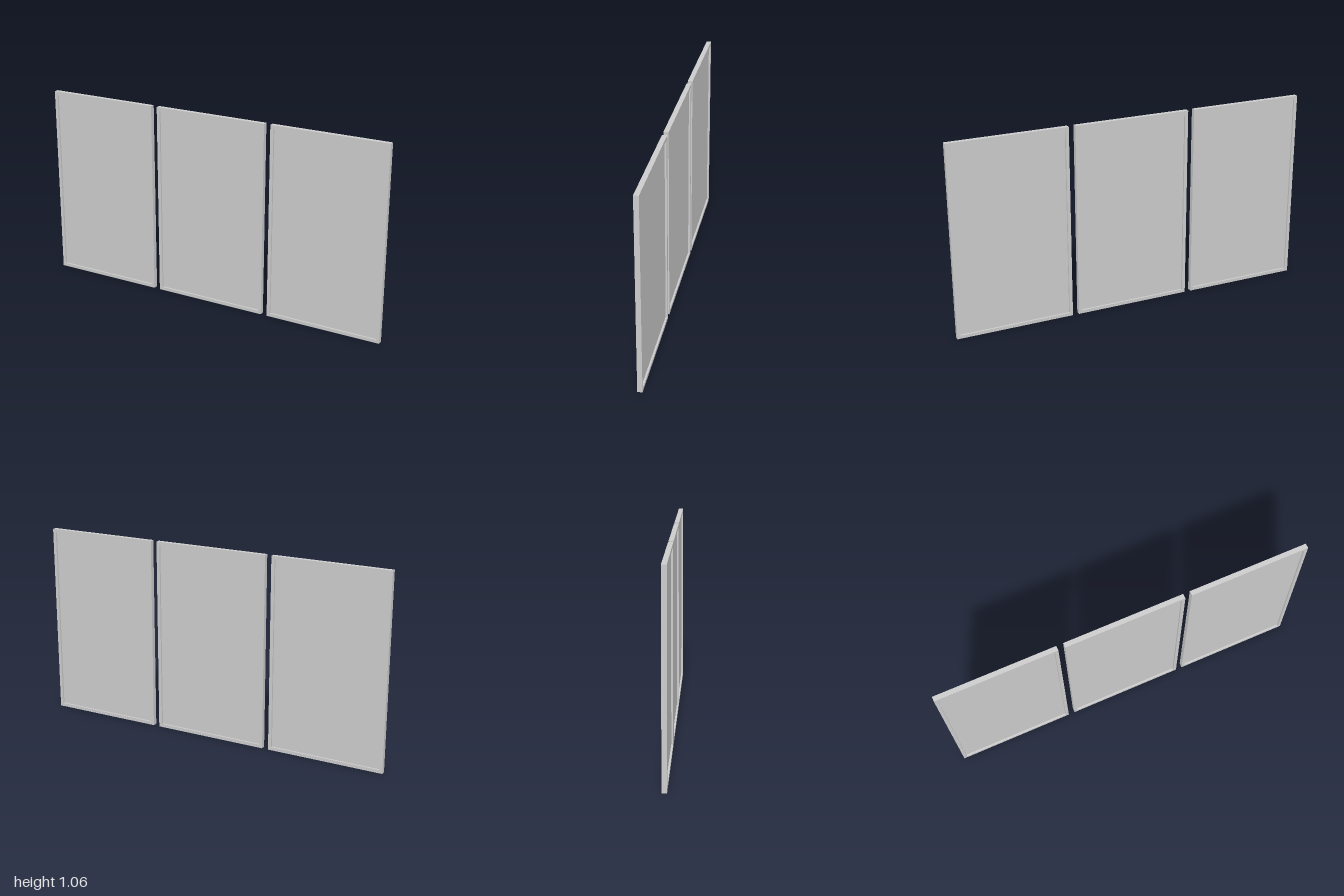
import * as THREE from 'three';

const W = 0.643, H = 1.06, D = 0.026; // outer size of one framed panel
const RAIL = 0.018;                   // visible width of the frame
const SHEET = 0.006;                  // thickness of the recessed sheet

const material = new THREE.MeshStandardMaterial({ color: 0xcccccc });

function rectangle(PathType, w, h) {
  return new PathType([
    new THREE.Vector2(-w / 2, -h / 2),
    new THREE.Vector2(w / 2, -h / 2),
    new THREE.Vector2(w / 2, h / 2),
    new THREE.Vector2(-w / 2, h / 2),
  ]);
}

function createPanel() {
  const panel = new THREE.Group();
  const innerW = W - 2 * RAIL, innerH = H - 2 * RAIL;

  // Rectangular frame with an open middle
  const outline = rectangle(THREE.Shape, W, H);
  outline.holes.push(rectangle(THREE.Path, innerW, innerH));
  const frameGeometry = new THREE.ExtrudeGeometry(outline, { depth: D, bevelEnabled: false });
  frameGeometry.translate(0, 0, -D / 2);
  const frame = new THREE.Mesh(frameGeometry, material);
  frame.name = 'frame';

  // Flat sheet held inside the frame, recessed on both faces
  const sheet = new THREE.Mesh(new THREE.BoxGeometry(innerW, innerH, SHEET), material);
  sheet.name = 'sheet';

  panel.add(frame, sheet);
  return panel;
}

export function createModel() {
  const model = new THREE.Group();
  model.name = 'threePanelSet';

  // Three equal panels side by side with narrow gaps
  const spacing = 1 - W / 2;
  ['rightPanel', 'middlePanel', 'leftPanel'].forEach((name, i) => {
    const panel = createPanel();
    panel.name = name;
    panel.position.set((i - 1) * spacing, H / 2, 0);
    model.add(panel);
  });
  return model;
}
